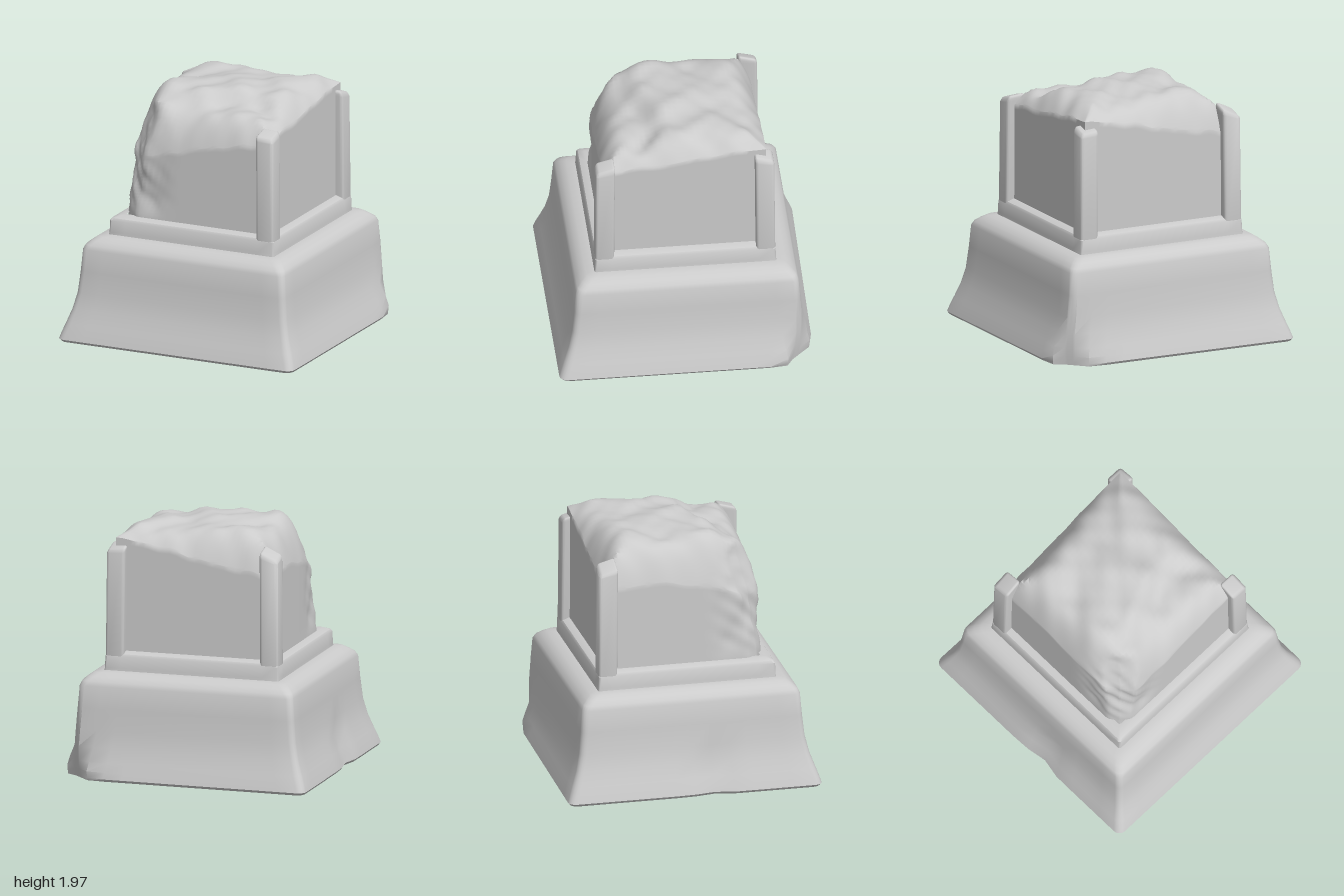
import * as THREE from 'three';
import { mergeVertices, toCreasedNormals } from 'three/addons/utils/BufferGeometryUtils.js';
import { RoundedBoxGeometry } from 'three/addons/geometries/RoundedBoxGeometry.js';

const { smoothstep, clamp, lerp } = THREE.MathUtils;
const stone = new THREE.MeshStandardMaterial({ color: 0xcccccc });

// Moves every vertex by a rule, then smooths all but sharp edges.
function reshape(geometry, rule, crease) {
  geometry.deleteAttribute('normal');
  geometry.deleteAttribute('uv');
  const g = mergeVertices(geometry, 1e-4);
  const p = g.attributes.position;
  const v = new THREE.Vector3();
  for (let i = 0; i < p.count; i++) {
    v.fromBufferAttribute(p, i);
    rule(v);
    p.setXYZ(i, v.x, v.y, v.z);
  }
  return toCreasedNormals(g, crease);
}

// Stacks rounded squares along a profile of [half width, height, corner radius].
function squareLoft(profile) {
  const ring = [], steps = 12, arc = 4;
  for (let k = 0; k < 4; k++) {
    const mid = k * Math.PI / 2;
    for (let i = 0; i < steps; i++) ring.push({ mid, t: -1 + 2 * i / steps });
    for (let i = 0; i < arc; i++) ring.push({ mid, a: (i / arc) * Math.PI / 2 });
  }
  const pos = [], idx = [], n = ring.length;
  for (const [h, y, radius] of profile) {
    const r = Math.min(radius, h), q = h - r;
    for (const { mid, t, a } of ring) {
      const u = a === undefined ? h : q + r * Math.cos(a);
      const w = a === undefined ? t * q : q + r * Math.sin(a);
      const c = Math.cos(mid), s = Math.sin(mid);
      pos.push(u * c - w * s, y, u * s + w * c);
    }
  }
  for (let i = 0; i < profile.length - 1; i++) {
    for (let j = 0; j < n; j++) {
      const a = i * n + j, b = i * n + (j + 1) % n;
      idx.push(a, a + n, b, b, a + n, b + n);
    }
  }
  const g = new THREE.BufferGeometry();
  g.setAttribute('position', new THREE.Float32BufferAttribute(pos, 3));
  g.setIndex(idx);
  return g;
}

// Gentle repeatable unevenness, about -1 to 1.
const bumps = (x, y, z) =>
  (Math.sin(7 * x + 2 * z + 1.3) * Math.cos(6 * z - 3 * x + 2 * y) +
    0.5 * Math.sin(15 * x + 9 * y) * Math.sin(13 * z + 4 * y + 0.7)) / 1.5;

// Height of the weathered top: a low rim at the walls, rising fast to a mound.
function topHeight(x, z) {
  const u = (x / 0.63 + 1) / 2, w = (z / 0.63 + 1) / 2;
  const rim = lerp(lerp(1.6, 1.86, u), lerp(1.42, 1.7, u), w) +
    0.1 * Math.sin(Math.PI * w) * (1 - u);
  const d = clamp((0.63 - Math.max(Math.abs(x), Math.abs(z))) / 0.3, 0, 1);
  // Broken ledge along the front of the mound
  const ledge = 0.09 * smoothstep(z + 0.08 * Math.sin(6 * x), 0.18, 0.36);
  const crown = 1.94 - ledge + 0.035 * bumps(x, 0, z);
  return lerp(rim, crown, 1 - (1 - d) ** 3) + 0.02 * bumps(2 * x, 1, 2 * z);
}

function add(group, name, geometry) {
  const mesh = new THREE.Mesh(geometry, stone);
  mesh.name = name;
  group.add(mesh);
}

export function createModel() {
  const group = new THREE.Group();
  group.name = 'weatheredPedestal';

  // Flared base with one chipped rear corner
  const base = squareLoft([
    [0, 0, 0], [0.5, 0, 0.03], [0.985, 0, 0.06], [1, 0.02, 0.06], [0.985, 0.07, 0.06],
    [0.96, 0.14, 0.06], [0.92, 0.25, 0.05], [0.89, 0.38, 0.05], [0.873, 0.55, 0.05],
    [0.86, 0.72, 0.05], [0.845, 0.755, 0.06], [0.81, 0.785, 0.06], [0.77, 0.812, 0.06],
    [0.7, 0.82, 0.05], [0.5, 0.82, 0.03], [0, 0.82, 0],
  ]);
  add(group, 'base', reshape(base, v => {
    const over = v.x - v.z - 1.73 - 0.02 * Math.sin(9 * v.y);
    if (over > 0) { v.x -= over / 2; v.z += over / 2; }
    // Rear foot is worn a little towards the chipped corner
    if (v.z < -0.8) v.z += 0.015 * (v.x + 1) * smoothstep(0.5 - v.y, 0, 0.4);
    // Small nick in the foot at the side
    if (v.x < -0.9) v.x += 0.035 * Math.exp(-(((v.z - 0.13) / 0.1) ** 2));
  }, 0.75));

  // Sill framing the panels from below
  const sill = squareLoft([
    [0.705, 0.8, 0.02], [0.7, 0.84, 0.02], [0.697, 0.93, 0.02],
    [0.685, 0.948, 0.02], [0.64, 0.966, 0.02], [0.6, 0.966, 0.02],
  ]);
  add(group, 'sill', reshape(sill, () => {}, 0.6));

  // Eroded stone block with flat recessed panels
  const block = new THREE.BoxGeometry(2, 1, 2, 40, 24, 40);
  add(group, 'block', reshape(block, v => {
    const f = v.y + 0.5;
    v.x = 0.63 * Math.sin(v.x * Math.PI / 2);
    v.z = 0.63 * Math.sin(v.z * Math.PI / 2);
    v.y = 0.9 + (topHeight(v.x, v.z) - 0.9) * f;
    // Broken front corner
    const limit = 1.1 - 0.24 * smoothstep(v.y, 1.4, 1.85) + 0.04 * bumps(v.x, 2 * v.y, v.z);
    const over = Math.max(0, v.z - v.x - limit) * 0.75;
    v.x += over / 2;
    v.z -= over / 2;
    // Shallow dents on the walls beside it
    const worn = smoothstep(v.z - v.x, 0.75, 1.1) * smoothstep(v.y, 0.95, 1.15);
    const dent = 0.025 * worn * (1 + bumps(2 * v.x, 3 * v.y, 2 * v.z));
    v.x += dent;
    v.z -= dent;
  }, 0.9));

  // Three surviving corner posts: x sign, z sign, height of the top
  for (const [name, sx, sz, top] of [
    ['frontLeftPost', 1, 1, 1.73], ['backLeftPost', 1, -1, 1.75], ['backRightPost', -1, -1, 1.76],
  ]) {
    const height = top - 0.85;
    const post = new RoundedBoxGeometry(0.148, height, 0.148, 3, 0.025);
    add(group, name, reshape(post, v => {
      const up = smoothstep(v.y, height / 2 - 0.06, height / 2);
      // Worn top sloping up towards the block
      const inward = 0.148 - sx * v.x - sz * v.z;
      v.y += up * (0.28 * inward + 0.01 * Math.sin(30 * v.x));
      v.x += sx * 0.622 - sx * 0.012 * up;
      v.z += sz * 0.622 - sz * 0.012 * up;
      v.y += 0.85 + height / 2;
    }, 0.7));
  }

  return group;
}
